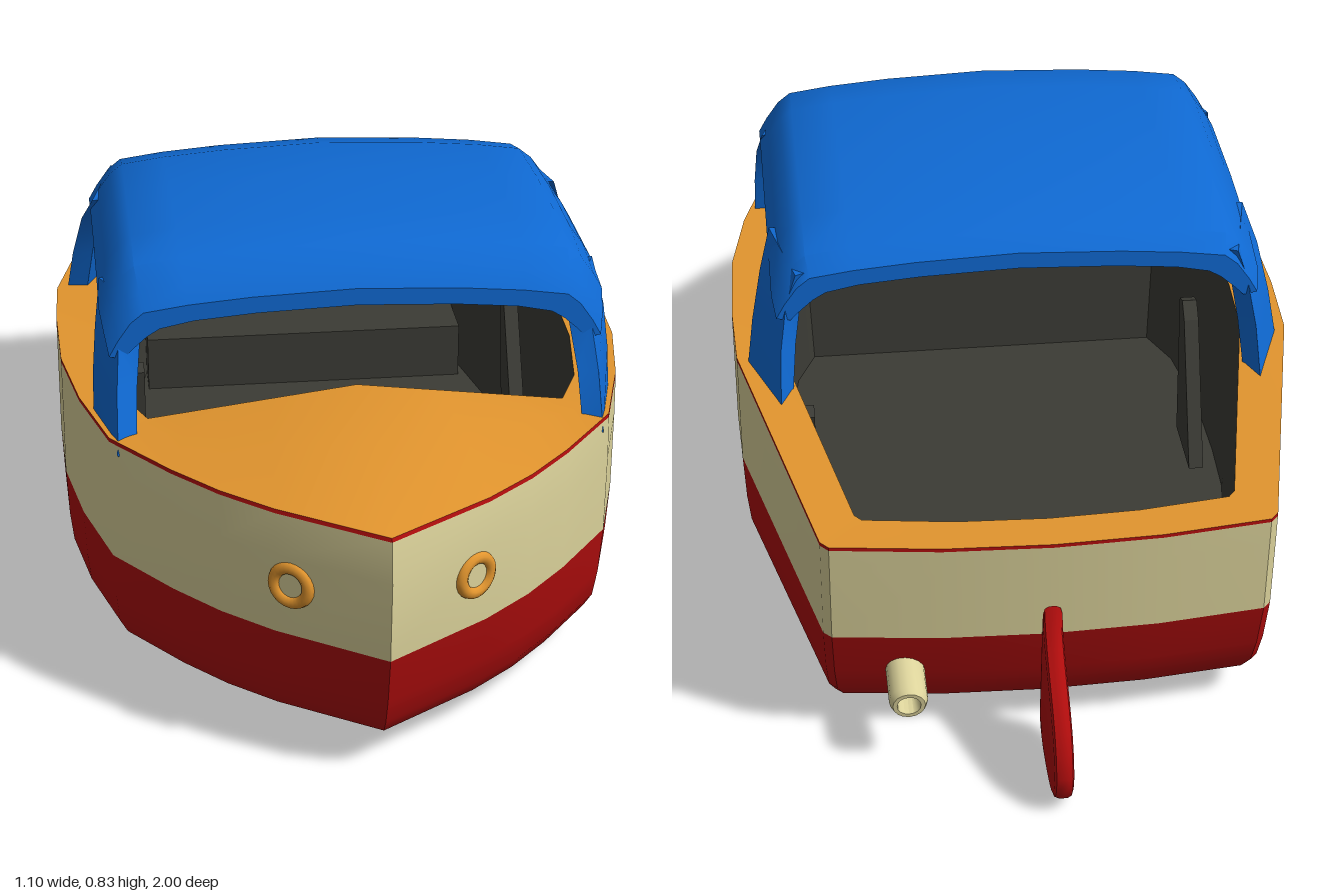
import * as THREE from 'three';
import { toCreasedNormals } from 'three/addons/utils/BufferGeometryUtils.js';

function paint(name, color, side = THREE.DoubleSide) {
  const m = new THREE.MeshStandardMaterial({ color, side });
  m.name = name;
  return m;
}

// Skin through matching rings of [x, y, z]; faces point away from the origin, or towards it if inward
function loft(rings, { capStart = false, capEnd = false, inward = false } = {}) {
  const n = rings[0].length, tris = [];
  const quad = (a, b, c, d) => tris.push([a, b, c], [a, c, d]);
  for (let i = 0; i < rings.length - 1; i++) {
    for (let j = 0; j < n; j++) {
      const k = (j + 1) % n;
      quad(rings[i][j], rings[i][k], rings[i + 1][k], rings[i + 1][j]);
    }
  }
  const cap = (r, flip) => {
    for (let j = 0; j < Math.floor(n / 2) - 1 + (n % 2); j++) {
      const q = [r[j], r[j + 1], r[n - 2 - j], r[n - 1 - j]];
      quad(...(flip ? q.reverse() : q));
    }
  };
  if (capStart) cap(rings[0], true);
  if (capEnd) cap(rings[rings.length - 1], false);
  let volume = 0;
  const [va, vb, vc] = [0, 1, 2].map(() => new THREE.Vector3());
  for (const [a, b, c] of tris) volume += va.set(...a).dot(vb.set(...b).cross(vc.set(...c)));
  if ((volume < 0) !== inward) tris.forEach((t) => t.reverse());
  const geo = new THREE.BufferGeometry();
  geo.setAttribute('position', new THREE.Float32BufferAttribute(tris.flat(2), 3));
  return toCreasedNormals(geo, 0.6);
}

export function createModel() {
  const boat = new THREE.Group();
  boat.name = 'motorBoat';
  const red = paint('red', 0xb00d0d), cream = paint('cream', 0xdcd39b);
  const orange = paint('orange', 0xe2952e), blue = paint('blue', 0x0f69d2);
  const dark = paint('dark grey', 0x3b3b35);
  const add = (name, geo, mat, x = 0, y = 0, z = 0) => {
    const mesh = new THREE.Mesh(geo, mat);
    mesh.name = name;
    mesh.position.set(x, y, z);
    boat.add(mesh);
    return mesh;
  };

  // Plan outline, from bow along the left side to the stern, then mirrored
  const half = [[0, 1], [0.19, 0.87], [0.28, 0.79], [0.36, 0.7], [0.465, 0.56], [0.515, 0.38], [0.545, 0.2],
    [0.55, 0], [0.545, -0.16], [0.415, -0.76], [0.4, -0.777], [0.2, -0.802], [0, -0.81]];
  const outline = [...half, ...half.slice(1, -1).reverse().map(([x, z]) => [-x, z])];
  const sheer = (z) => 0.505 + Math.min(0, z) * 0.037;
  const level = (y, sx, bow, stern) => outline.map(([x, z]) =>
    [x * sx, typeof y === 'function' ? y(z) : y, z * (z > 0 ? bow : stern)]);

  // Hull
  const waterline = level(0.26, 1, 0.985, 0.975);
  const trimLow = level((z) => sheer(z) - 0.007, 1, 0.988, 1);
  const top = level(sheer, 1, 0.985, 1);
  add('lowerHull', loft([level(0.05, 0.91, 0.87, 0.84), level(0.068, 0.95, 0.905, 0.88),
    level(0.1, 0.98, 0.93, 0.91), level(0.16, 0.992, 0.957, 0.94), waterline], { capStart: true }), red);
  add('upperHull', loft([waterline, level(0.42, 1, 1, 0.995), trimLow]), cream);
  add('hullTrim', loft([trimLow, top]), red);

  // Foredeck and side decks, with a ridge along the bow
  const crown = ([x, z]) => (z > 0.5 ? 0.05 * Math.max(0, 1 - Math.abs(x) / 0.47) : 0);
  const rim = outline.map(([x, z]) =>
    [x * 0.84, sheer(z) + crown([x, z]), z > 0 ? Math.min(z, 0.48) : z * 0.9]);
  const ridge = top.map(([x, y, z], i) =>
    [(x + rim[i][0]) / 2, y + crown(outline[i]), (z + rim[i][2]) / 2]);
  add('deck', loft([top, ridge, rim]), orange);

  // Cockpit
  const floor = rim.map(([x, , z]) => [x * 0.96, 0.1, z * 0.96]);
  add('cockpit', loft([rim, floor], { capEnd: true, inward: true }), dark);
  add('sternBench', new THREE.BoxGeometry(0.7, 0.12, 0.2), dark, 0, 0.16, -0.59);

  // Upright fins against the cockpit sides
  const fin = (x, pts) => {
    const shape = new THREE.Shape(pts.map((p) => new THREE.Vector2(...p)));
    const mesh = add('cockpitFin', new THREE.ExtrudeGeometry(shape, { depth: 0.03, bevelEnabled: false }), dark, x);
    mesh.rotation.y = -Math.PI / 2;
  };
  fin(0.43, [[-0.27, 0.42], [-0.24, 0.43], [-0.21, 0.39], [-0.05, 0.11], [-0.2, 0.11]]);
  fin(-0.38, [[0.1, 0.42], [0.07, 0.43], [0.04, 0.4], [-0.08, 0.11], [0.08, 0.11]]);

  // Canopy roof: a thin arch swept from front to back
  const arch = [[0, 0.83], [0.2, 0.822], [0.32, 0.812], [0.405, 0.8], [0.43, 0.78], [0.455, 0.745], [0.472, 0.715]];
  const inner = [[0, 0.797], [0.19, 0.79], [0.31, 0.78], [0.375, 0.767], [0.4, 0.752], [0.425, 0.73], [0.445, 0.71]];
  const span = (p) => [...p.slice(1).reverse().map(([x, y]) => [-x, y]), ...p];
  const section = [...span(arch), ...span(inner).reverse()];
  const stations = [[0.485, 0.078, 0.97], [0.46, 0.045, 0.985], [0.41, 0.016, 1], [0.3, 0, 1], [0.08, 0.002, 1],
    [-0.12, 0.018, 1], [-0.22, 0.045, 1], [-0.255, 0.075, 0.985]];
  add('canopyRoof', loft(stations.map(([z, drop, sx]) => section.map(([x, y]) => [x * sx, y - drop, z])),
    { capStart: true, capEnd: true }), blue);

  // Canopy posts: [height, four corners as x, z]
  const frontPost = [
    [0.48, [0.415, 0.56], [0.45, 0.58], [0.49, 0.43], [0.455, 0.43]],
    [0.58, [0.41, 0.515], [0.447, 0.53], [0.487, 0.415], [0.45, 0.415]],
    [0.66, [0.4, 0.465], [0.44, 0.48], [0.48, 0.395], [0.445, 0.395]],
    [0.73, [0.36, 0.45], [0.42, 0.465], [0.468, 0.33], [0.43, 0.33]]];
  const rearPost = [
    [0.48, [0.44, -0.28], [0.465, -0.335], [0.525, -0.18], [0.485, -0.175]],
    [0.58, [0.43, -0.25], [0.46, -0.285], [0.51, -0.15], [0.47, -0.15]],
    [0.67, [0.415, -0.225], [0.445, -0.25], [0.49, -0.115], [0.455, -0.115]],
    [0.73, [0.37, -0.225], [0.425, -0.25], [0.468, -0.06], [0.43, -0.06]]];
  for (const side of [1, -1]) {
    for (const [name, post] of [['frontPost', frontPost], ['rearPost', rearPost]]) {
      // Lofted around its own middle so the faces point outwards
      const cx = side * 0.45, cz = name === 'frontPost' ? 0.46 : -0.2;
      const rings = post.map(([y, ...pts]) => pts.map(([x, z]) => [side * x - cx, y - 0.6, z - cz]));
      add(name, loft(rings, { capStart: true, capEnd: true }), blue, cx, 0.6, cz);
    }
    // Portholes
    const ring = add('porthole', new THREE.TorusGeometry(0.034, 0.012, 10, 24), orange, side * 0.163, 0.367, 0.884);
    ring.rotation.y = side * 0.6;
    const glass = add('portholePane', new THREE.CylinderGeometry(0.03, 0.03, 0.008, 20), cream, side * 0.163, 0.367, 0.884);
    glass.rotation.set(Math.PI / 2, 0, -side * 0.6);
  }

  // Rudder
  const blade = new THREE.Shape();
  blade.moveTo(-0.8, 0.33);
  blade.bezierCurveTo(-0.84, 0.22, -0.98, 0.22, -1, 0.09);
  blade.bezierCurveTo(-1, 0.02, -0.95, 0, -0.88, 0);
  blade.bezierCurveTo(-0.8, 0, -0.76, 0.02, -0.76, 0.07);
  blade.lineTo(-0.78, 0.25);
  const rudder = add('rudder', toCreasedNormals(new THREE.ExtrudeGeometry(blade, { depth: 0.014, bevelThickness: 0.011,
    bevelSize: 0.012, bevelOffset: -0.012, bevelSegments: 2, curveSegments: 8 }), 0.6), red, 0.007);
  rudder.rotation.y = -Math.PI / 2;

  // Exhaust pipe
  const pipe = [[0.036, -0.06], [0.036, 0.035], [0.03, 0.048], [0.022, 0.048], [0.02, 0], [0, 0]];
  const exhaust = add('exhaustPipe', toCreasedNormals(new THREE.LatheGeometry(
    pipe.map((p) => new THREE.Vector2(...p)), 16), 0.6), cream, 0.267, 0.16, -0.79);
  exhaust.rotation.set(-Math.PI / 2 - 0.15, 0, 0);

  return boat;
}
